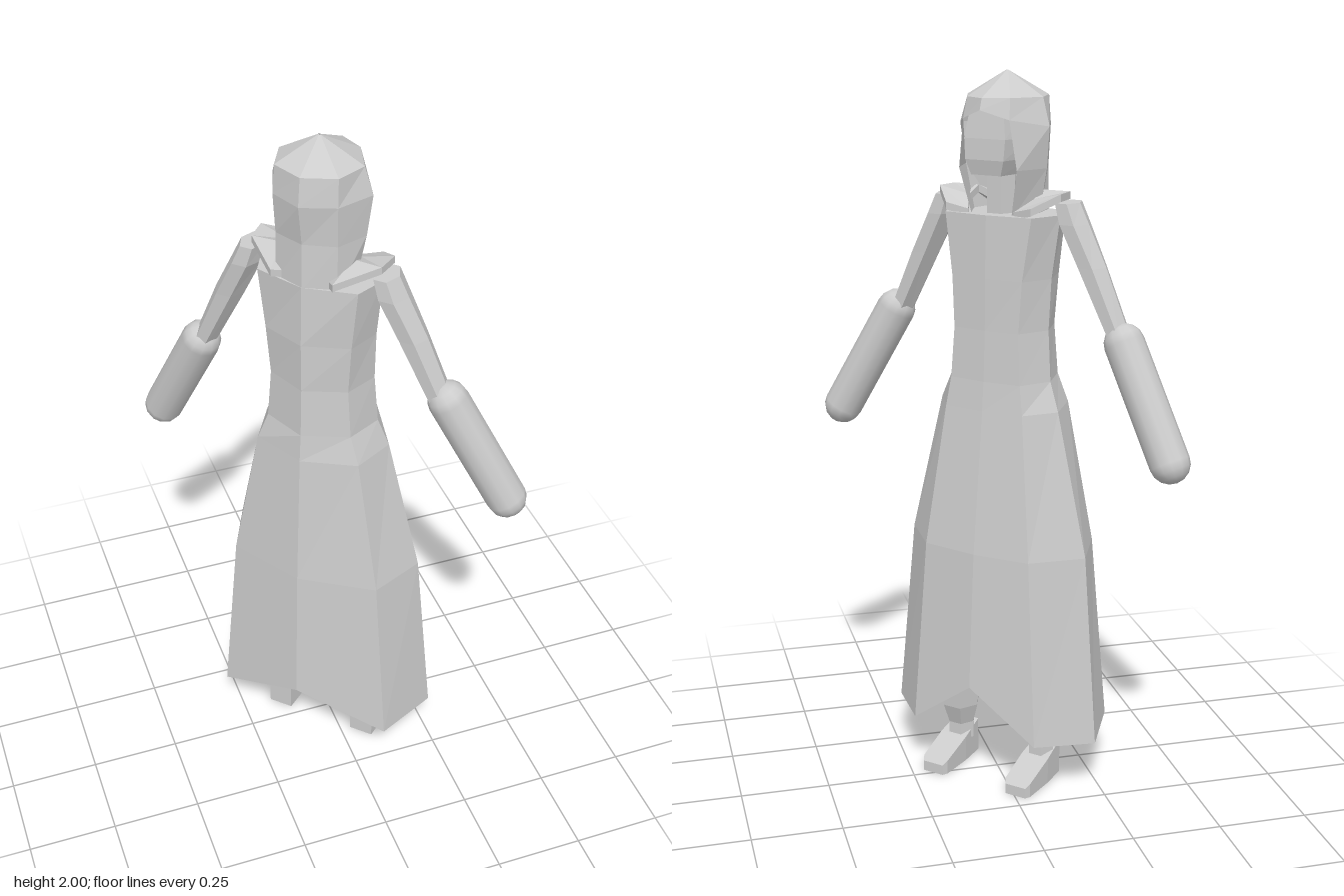
import * as THREE from 'three';

// Skin a stack of cross-sections with flat facets; optional end caps.
function loft(rings, { closed = true, capStart = false, capEnd = false } = {}) {
  const pos = [];
  const tri = (a, b, c) => pos.push(...a, ...b, ...c);
  const n = rings[0].length;
  for (let r = 0; r + 1 < rings.length; r++) {
    const lo = rings[r], up = rings[r + 1];
    for (let i = 0; i < (closed ? n : n - 1); i++) {
      const j = (i + 1) % n;
      tri(lo[i], lo[j], up[j]);
      tri(lo[i], up[j], up[i]);
    }
  }
  const cap = (ring, flip) => {
    const mid = [0, 1, 2].map(k => ring.reduce((s, p) => s + p[k], 0) / n);
    ring.forEach((p, i) => {
      const q = ring[(i + 1) % n];
      if (flip) tri(mid, q, p); else tri(mid, p, q);
    });
  };
  if (capStart) cap(rings[0], true);
  if (capEnd) cap(rings[rings.length - 1], false);
  const g = new THREE.BufferGeometry();
  g.setAttribute('position', new THREE.Float32BufferAttribute(pos, 3));
  g.computeVertexNormals();
  return g;
}

// Ring from a half outline [x, z, own y], going front -> left side -> back, then mirrored.
function ring(y, half) {
  const left = half.map(([x, z, h = y]) => [x, h, z]);
  const right = left.filter(p => p[0] > 0).reverse().map(p => [-p[0], p[1], p[2]]);
  return [...left, ...right];
}

// Oval section with n sides, level in y.
function oval(cx, y, cz, rx, rz, n = 6) {
  return Array.from({ length: n }, (_, i) => {
    const a = (i + 0.5) / n * Math.PI * 2;
    return [cx + rx * Math.sin(a), y, cz + rz * Math.cos(a)];
  });
}

export function createModel() {
  const model = new THREE.Group();
  const figure = new THREE.Group();
  figure.name = 'robedFigure';
  figure.rotation.y = Math.PI * 0.75;
  model.add(figure);

  const grey = new THREE.MeshStandardMaterial({ color: 0xcccccc, side: THREE.DoubleSide });
  grey.name = 'light grey';
  const add = (name, geometry) => {
    const m = new THREE.Mesh(geometry, grey);
    m.name = name;
    figure.add(m);
    return m;
  };

  // Robe: open, notched hem up to the shoulders
  add('robe', loft([
    ring(0.16, [[0, 0.156, 0.31], [0.198, 0.135, 0.165], [0.327, 0.014], [0.263, -0.172, 0.165], [0, -0.222, 0.27]]),
    ring(0.7, [[0, 0.13], [0.165, 0.115], [0.28, 0], [0.22, -0.155], [0, -0.205]]),
    ring(1.1, [[0, 0.082], [0.12, 0.074], [0.185, -0.01], [0.15, -0.132], [0, -0.18]]),
    ring(1.18, [[0, 0.074], [0.108, 0.066], [0.155, -0.02], [0.122, -0.122], [0, -0.172]]),
    ring(1.32, [[0, 0.067], [0.1, 0.06], [0.145, -0.025], [0.112, -0.118], [0, -0.165]]),
    ring(1.46, [[0, 0.065], [0.108, 0.056], [0.15, -0.03], [0.122, -0.122], [0, -0.165]]),
    ring(1.63, [[0, 0.06], [0.132, 0.05], [0.17, -0.04], [0.14, -0.125], [0, -0.158]]),
  ], { capEnd: true }));

  // Hood: open at the face, closed across the brow and crown
  const brow = [[0.07, 0.058, 1.88], [0.137, -0.036, 1.86], [0.088, -0.132, 1.86], [0, -0.17, 1.86]];
  add('hoodSides', loft([
    ring(1.62, [[0.06, 0.03], [0.1, -0.05], [0.085, -0.13], [0, -0.158]]),
    ring(1.75, [[0.088, 0.05], [0.125, -0.045], [0.085, -0.126], [0, -0.153]]),
    ring(1.86, brow),
  ], { closed: false }));
  add('hoodCrown', loft([
    ring(1.86, [[0, 0.09, 1.905], ...brow]),
    ring(1.935, [[0, 0.08], [0.065, 0.045], [0.115, -0.04], [0.086, -0.125], [0, -0.16]]),
    ring(2.0, [[0, -0.05], [0.002, -0.051], [0.003, -0.052], [0.002, -0.053], [0, -0.054]]),
  ]));

  // Head and neck inside the hood
  add('head', loft([
    ring(1.735, [[0.045, 0.06], [0.06, -0.04], [0.04, -0.09]]),
    ring(1.775, [[0.058, 0.068], [0.075, -0.04], [0.05, -0.1]]),
    ring(1.83, [[0.062, 0.066], [0.082, -0.04], [0.055, -0.11]]),
    ring(1.91, [[0.05, 0.054], [0.07, -0.04], [0.05, -0.1]]),
  ], { capStart: true, capEnd: true }));
  add('neck', loft([oval(0, 1.6, -0.02, 0.042, 0.045), oval(0, 1.76, -0.02, 0.042, 0.045)]));

  // Collar wing: thin rising flap from chest round to nape
  const flap = (inner, outer) => {
    const drop = ([x, y, z]) => [x, y - 0.02, z];
    return [drop(inner), inner, outer, drop(outer)];
  };
  const collar = loft([
    flap([0.07, 1.64, 0.035], [0.13, 1.655, 0.05]),
    flap([0.1, 1.67, -0.02], [0.187, 1.69, -0.01]),
    flap([0.1, 1.69, -0.07], [0.18, 1.69, -0.075]),
    flap([0.06, 1.65, -0.13], [0.085, 1.66, -0.158]),
  ], { capStart: true, capEnd: true });

  // Upper arm, leg and foot, shaped for the left side
  const arm = loft([
    oval(0.355, 1.3, -0.048, 0.032, 0.04),
    oval(0.26, 1.5, -0.052, 0.042, 0.048),
    oval(0.205, 1.61, -0.055, 0.042, 0.055),
    oval(0.185, 1.665, -0.055, 0.035, 0.05),
  ], { capStart: true, capEnd: true });
  const leg = loft([
    oval(0.135, 0.06, -0.02, 0.04, 0.042),
    oval(0.135, 0.11, -0.02, 0.04, 0.042),
    oval(0.133, 0.17, -0.015, 0.056, 0.06),
    oval(0.125, 0.32, -0.01, 0.06, 0.065),
    oval(0.09, 1.0, -0.04, 0.075, 0.075),
  ]);
  const sole = (z, h, w) => [[0.138 - w, 0, z], [0.138 - w, h, z], [0.138 + w, h, z], [0.138 + w, 0, z]].reverse();
  const foot = loft([
    sole(-0.06, 0.1, 0.036), sole(0.02, 0.075, 0.042), sole(0.12, 0.04, 0.04), sole(0.135, 0.03, 0.032),
  ], { capStart: true, capEnd: true });

  for (const [side, s] of [['left', 1], ['right', -1]]) {
    for (const [part, g] of [['Collar', collar], ['UpperArm', arm], ['Leg', leg], ['Foot', foot]]) {
      add(side + part, g).scale.x = s;
    }
    // Rounded sleeve, smooth, hanging from the elbow
    const lift = s > 0 ? -0.01 : 0.01;
    const a = new THREE.Vector3(s * 0.362, 1.315 + lift, -0.046);
    const b = new THREE.Vector3(s * 0.523, 1.02 + lift, -0.002);
    const sleeve = add(side + 'Sleeve', new THREE.CapsuleGeometry(0.055, a.distanceTo(b), 4, 12));
    sleeve.position.copy(a).lerp(b, 0.5);
    sleeve.quaternion.setFromUnitVectors(new THREE.Vector3(0, 1, 0), a.sub(b).normalize());
  }
  return model;
}
